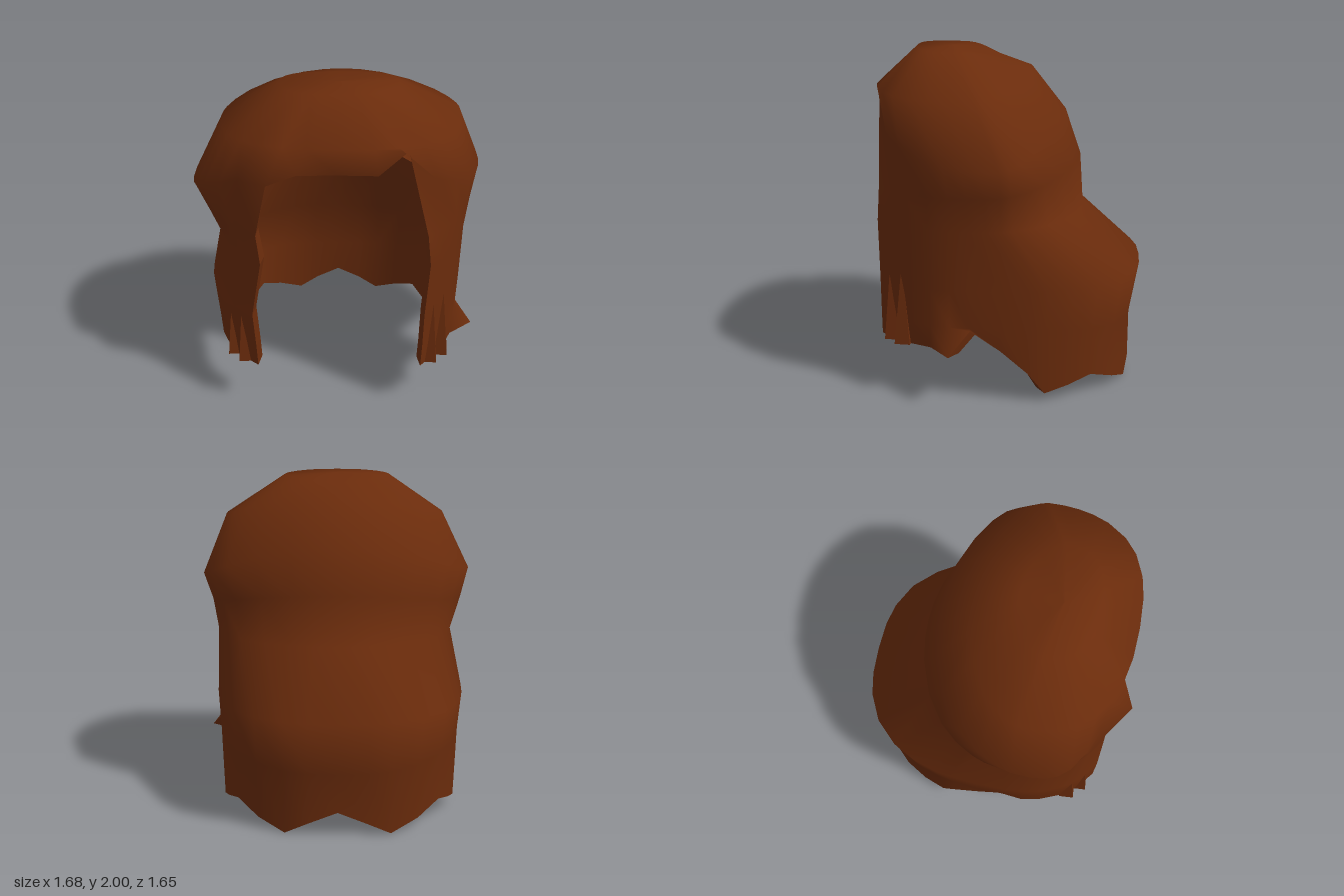
import * as THREE from 'three';

const hair = new THREE.MeshStandardMaterial({ color: 0x6b2c0c, side: THREE.DoubleSide });
hair.name = 'brown hair';

// Column angles (0 = front, 180 = back) of one side, with the height of the ragged hem below each
const ANGLES = [22, 36, 48, 62, 72, 80, 87, 96, 103, 114, 127, 144, 160, 171, 180];
const HEM = [0.32, 0.32, 0.32, 0.32, 0.32, 0.44, 0.32, 0.18, 0.05, 0.09, 0.13, 0.065, 0, 0.07, 0.14];
const SIDES = [...ANGLES, ...ANGLES.slice(0, -1).reverse().map((a) => 360 - a)];
const HEMS = [...HEM, ...HEM.slice(0, -1).reverse()];
const COLS = [...SIDES, 349, 360, 371];
const LAST = SIDES.length - 1;
const FRINGE = 3; // ring that ends the closed crown; below it the face is open

// Rings from crown to hem: half width, x shift, centre z, front z, back z, heights at
// front/side/back, angle of the face opening, squareness of the back, skew in z,
// extra thickness at the nape
const RINGS = [
  [0, 0, 0.33, 0.33, 0.33, 1.995, 1.995, 1.995, 22, 1, 0, 0],
  [0.33, 0.01, 0.3, 0.53, 0.08, 2.0, 1.985, 1.95, 22, 1, 0, 0],
  [0.68, 0.02, 0.2, 0.76, -0.16, 1.79, 1.755, 1.87, 22, 1, 0.04, 0],
  [0.835, 0, 0.15, 0.74, -0.37, 1.63, 1.4, 1.6, 22, 1, 0.12, 0],
  [0.785, 0.005, 0.12, 0.78, -0.46, 1.22, 1.24, 1.34, 31, 1, 0.04, 0],
  [0.735, 0.025, 0.1, 0.81, -0.48, 1.04, 1.04, 1.04, 34, 1, 0, 0],
  [0.765, -0.015, 0.1, 0.81, -0.84, 0.69, 0.69, 0.69, 34, 0.76, 0, 0.19],
  [0.75, -0.01, 0.1, 0.81, -0.785, 0.46, 0.46, 0.37, 34, 0.76, 0, 0.12],
  [0.74, -0.01, 0.1, 0.81, -0.785, 0, 0, 0, 34, 0.76, 0, 0.1],
];

// Point on ring r, column c, moved inwards by the hair thickness
function point(r, c, inset) {
  const [w, shift, mid, zF, zB, yF, yS, yB, edge, square, skew, nape] = RINGS[r];
  const open = edge + (inset ? 4 : 0);
  let a = COLS[c];
  if (c <= LAST) {
    const spread = (180 - open) / 158;
    a = 180 + (a - 180) * spread;
  } else a = 360 + ((a - 360) * open) / 22;
  const s = Math.sin((a * Math.PI) / 180);
  const k = Math.cos((a * Math.PI) / 180);
  const e = k > 0 ? 0.8 : square;
  const inward = k < 0 && inset ? inset + nape : inset;
  const depth = Math.max(0, (k > 0 ? zF - mid : mid - zB) - inward);
  let x = shift + Math.sign(s) * Math.max(0, w - inset) * Math.abs(s) ** e;
  let z = mid - skew * s ** 5 + Math.sign(k) * depth * Math.abs(k) ** e;
  let y = yS + ((k > 0 ? yF : yB) - yS) * k * k;
  if (r < FRINGE) y -= inset;
  if (r === RINGS.length - 1) {
    y = HEMS[c];
    if (c === 4) x += 0.12; // left lock flares out
  }
  // uneven corners of the fringe and a wider left edge of the face
  if (r === FRINGE && c === 0) y += 0.16;
  if (r === FRINGE && c === LAST) z += 0.1;
  if (r > FRINGE && c === 0) x += 0.04;
  return [x, y, z];
}

function build(name, points, faces, flip) {
  const g = new THREE.BufferGeometry();
  g.setAttribute('position', new THREE.Float32BufferAttribute(points.flat(), 3));
  g.setIndex(faces.flatMap(([a, b, c, d]) => (flip ? [a, c, b, a, d, c] : [a, b, c, a, c, d])));
  g.computeVertexNormals();
  const mesh = new THREE.Mesh(g, hair);
  mesh.name = name;
  return mesh;
}

// Crown and hanging hair in one sheet, open at the face
function shell(name, inset, flip) {
  const n = COLS.length;
  const points = [];
  const faces = [];
  RINGS.forEach((_, r) => COLS.forEach((__, c) => points.push(point(r, c, inset))));
  for (let r = 0; r < RINGS.length - 1; r++) {
    for (let c = 0; c < (r < FRINGE ? n : LAST); c++) {
      const d = (c + 1) % n;
      faces.push([r * n + c, (r + 1) * n + c, (r + 1) * n + d, r * n + d]);
    }
  }
  return build(name, points, faces, flip);
}

// Band that joins the outside to the lining along the hem and the face opening
function rim(thickness) {
  const path = [];
  const bottom = RINGS.length - 1;
  for (let c = 0; c <= LAST; c++) path.push([bottom, c]);
  for (let r = bottom - 1; r >= FRINGE; r--) path.push([r, LAST]);
  for (let c = LAST + 1; c < COLS.length; c++) path.push([FRINGE, c]);
  for (let r = FRINGE; r < bottom; r++) path.push([r, 0]);
  const points = [];
  const faces = [];
  path.forEach(([r, c], i) => {
    const [r2, c2] = path[(i + 1) % path.length];
    points.push(point(r, c, 0), point(r, c, thickness), point(r2, c2, thickness), point(r2, c2, 0));
    faces.push([i * 4, i * 4 + 1, i * 4 + 2, i * 4 + 3]);
  });
  return build('rim', points, faces, false);
}

export function createModel() {
  const group = new THREE.Group();
  group.name = 'hair';
  const thickness = 0.08;
  group.add(shell('outerHair', 0, false), shell('innerHair', thickness, true), rim(thickness));

  // Pointed strands in the front locks
  for (const side of [-1, 1]) {
    [[0.62, 0.5, 0.56], [0.55, 0.58, 0.63]].forEach(([x, h, z]) => {
      const g = new THREE.ConeGeometry(0.065, h, 4).toNonIndexed();
      g.computeVertexNormals();
      const strand = new THREE.Mesh(g, hair);
      strand.name = side < 0 ? 'rightStrand' : 'leftStrand';
      strand.position.set(side * x, 0.32 + h / 2, z);
      strand.rotation.y = side * 0.7;
      group.add(strand);
    });
  }
  return group;
}
